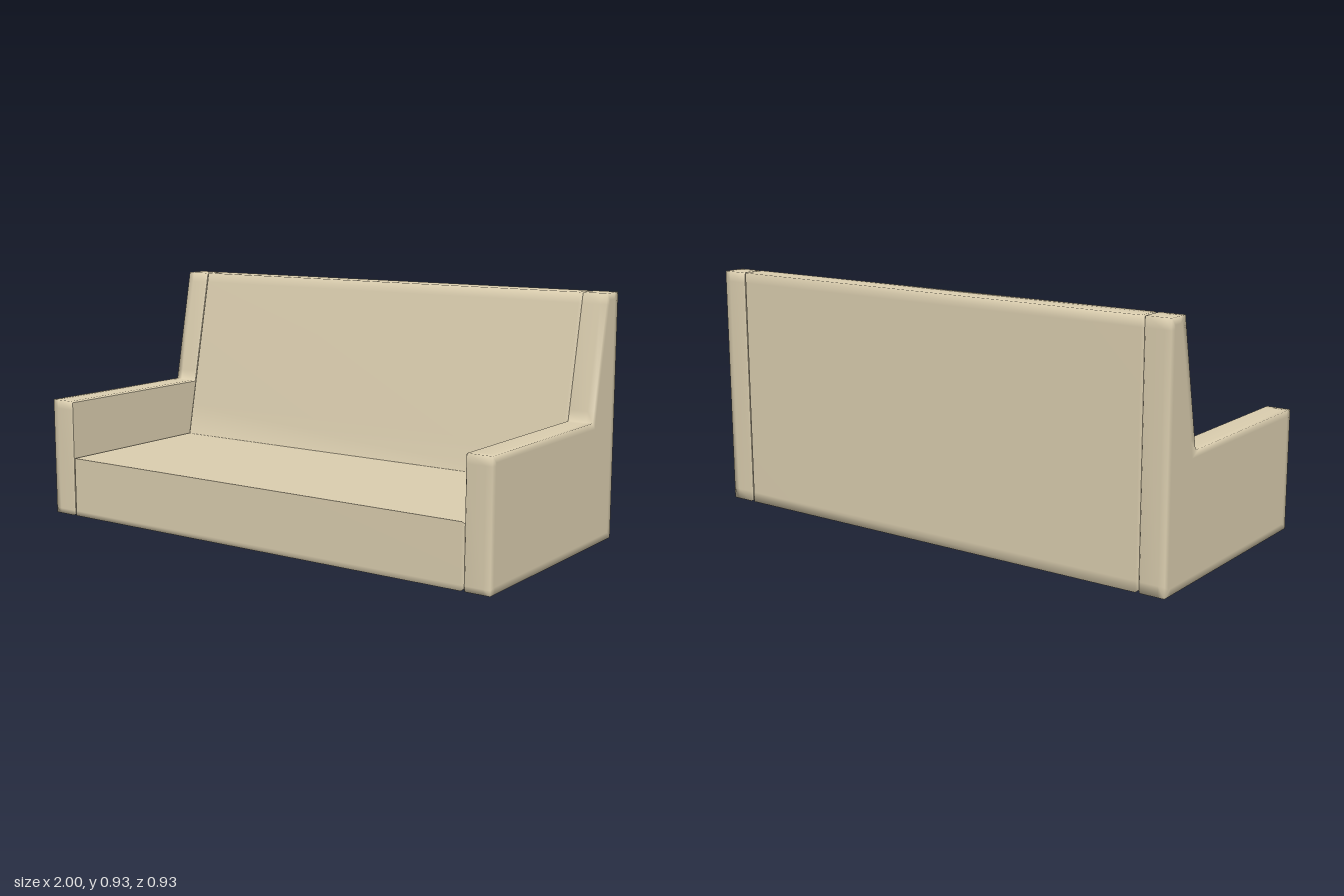
import * as THREE from 'three';
import { mergeGeometries } from 'three/addons/utils/BufferGeometryUtils.js';

// Moves each profile point inwards by d, keeping the edges parallel
function inset(profile, d) {
  const n = profile.length;
  const same = (a, b) => Math.hypot(a[0] - b[0], a[1] - b[1]) < 1e-6;
  return profile.map((p, i) => {
    let a = i, b = i;
    while (same(profile[a], p)) a = (a + n - 1) % n;
    while (same(profile[b], p)) b = (b + 1) % n;
    const side = (s, e) => new THREE.Vector2(s[1] - e[1], e[0] - s[0]).normalize();
    const n1 = side(profile[a], p), n2 = side(p, profile[b]);
    const k = d / (1 + n1.dot(n2));
    return new THREE.Vector2(p[0] + (n1.x + n2.x) * k, p[1] + (n1.y + n2.y) * k);
  });
}

// Sweeps a side profile along x through stations [x, inset]; smooth walls, flat ends
function sweep(profile, stations) {
  const n = profile.length, pos = [], index = [];
  const rings = stations.map(([, d]) => inset(profile, d));
  rings.forEach((ring, k) => ring.forEach(p => pos.push(p.x, p.y, stations[k][0])));
  for (let k = 0; k < stations.length - 1; k++) {
    for (let i = 0; i < n; i++) {
      const j = (i + 1) % n;
      const a = k * n + i, b = k * n + j, c = b + n, d = a + n;
      // a repeated point marks a sharp edge and has no wall
      if (profile[i][0] === profile[j][0] && profile[i][1] === profile[j][1]) continue;
      index.push(a, b, c, a, c, d);
    }
  }
  const walls = new THREE.BufferGeometry();
  walls.setAttribute('position', new THREE.Float32BufferAttribute(pos, 3));
  walls.setIndex(index);
  walls.computeVertexNormals();

  const cap = (k, flip) => {
    const g = new THREE.ShapeGeometry(new THREE.Shape(rings[k]));
    g.deleteAttribute('uv');
    g.translate(0, 0, stations[k][0]);
    if (flip) {
      g.index.array.reverse();
      g.computeVertexNormals();
    }
    return g;
  };
  const geometry = mergeGeometries([walls, cap(0, true), cap(stations.length - 1, false)]);
  return geometry.rotateY(Math.PI / 2);
}

export function createModel() {
  const group = new THREE.Group();
  const fabric = new THREE.MeshStandardMaterial({ color: 0xdccfb0 });
  fabric.name = 'beige fabric';
  const add = (name, geometry) => {
    const mesh = new THREE.Mesh(geometry, fabric);
    mesh.name = name;
    group.add(mesh);
  };

  // Profiles run from front bottom to back, as [-z, y]; extra points keep the soft edges tight
  const back = [
    [0.425, 0], [0.465, 0], [0.465, 0.04],
    [0.465, 0.89], [0.465, 0.93], [0.435, 0.93], [0.405, 0.93], [0.375, 0.93], [0.367, 0.89],
  ];

  // Seat and backrest in one piece
  const seatProfile = [
    [-0.465, 0.02], [-0.465, 0], [-0.445, 0], ...back,
    [0.258, 0.36], [0.233, 0.235], [0.22, 0.235],
    [-0.465, 0.235], [-0.465, 0.235],
  ];
  add('seatAndBackrest', sweep(seatProfile,
    [[-0.9, 0.01], [-0.89, 0], [0.89, 0], [0.9, 0.01]]));

  // Arms rise into the ends of the backrest
  const armProfile = [
    [-0.465, 0.02], [-0.465, 0], [-0.435, 0], ...back,
    [0.288, 0.505], [0.28, 0.465], [0.25, 0.465],
    [-0.435, 0.465], [-0.465, 0.465], [-0.465, 0.43],
  ];
  const armStations = [[0.9, 0.006], [0.906, 0], [0.975, 0], [1, 0], [1, 0.025]];
  add('leftArm', sweep(armProfile, armStations));
  add('rightArm', sweep(armProfile, armStations.map(([x, d]) => [-x, d]).reverse()));

  return group;
}
